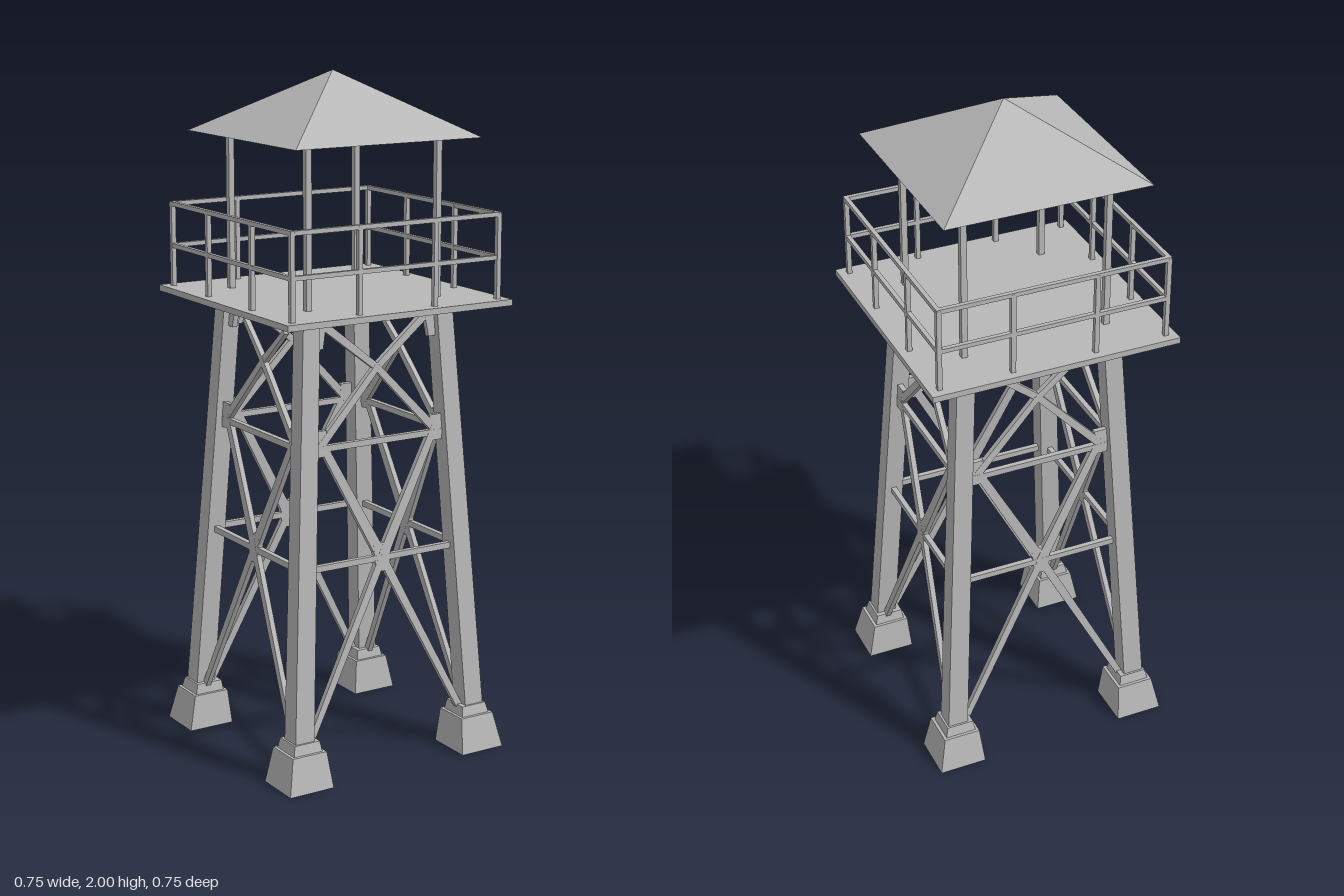
import * as THREE from 'three';

const steel = new THREE.MeshStandardMaterial({ color: 0xb8b8b8 });
steel.name = 'grey steel';

function add(parent, name, geometry) {
  const mesh = new THREE.Mesh(geometry, steel);
  mesh.name = name;
  parent.add(mesh);
  return mesh;
}

// Square block whose bottom and top may differ in centre and half width: [cx, y, cz, half]
function taperedBlock(bottom, top) {
  const g = new THREE.BoxGeometry(2, 2, 2);
  const p = g.attributes.position;
  for (let i = 0; i < p.count; i++) {
    const [cx, y, cz, h] = p.getY(i) < 0 ? bottom : top;
    p.setXYZ(i, cx + p.getX(i) * h, y, cz + p.getZ(i) * h);
  }
  g.computeVertexNormals();
  return g;
}

// Flat bar between two points, its width going from w0 to w1
function bar(parent, name, a, b, w0, w1 = w0, depth = 0.016) {
  const dir = b.clone().sub(a);
  const length = dir.length();
  dir.normalize();
  const g = new THREE.BoxGeometry(1, length, depth);
  const p = g.attributes.position;
  for (let i = 0; i < p.count; i++) p.setX(i, p.getX(i) * (p.getY(i) < 0 ? w0 : w1));
  g.computeVertexNormals();
  const side = dir.clone().cross(new THREE.Vector3(0, 0, 1)).normalize();
  const mesh = add(parent, name, g);
  mesh.quaternion.setFromRotationMatrix(
    new THREE.Matrix4().makeBasis(side, dir, side.clone().cross(dir)));
  mesh.position.copy(a).add(b).multiplyScalar(0.5);
  return mesh;
}

// Distance of a leg's centre line from the middle at height y
const lean = y => 0.295 - (y - 0.12) * 0.0593;

// Point in the leaning plane of one tower face
const onFace = (x, y) => new THREE.Vector3(x, y, lean(y));

function createLeg(sx, sz) {
  const leg = new THREE.Group();
  leg.name = 'leg';
  const at = (y, half) => [sx * lean(y), y, sz * lean(y), half];
  add(leg, 'legBeam', taperedBlock(at(0.12, 0.031), at(1.345, 0.027)));
  const foot = (y, c, half) => [sx * c, y, sz * c, half];
  add(leg, 'footing', taperedBlock(foot(0, 0.297, 0.072), foot(0.105, 0.291, 0.056)));
  add(leg, 'footingCap', taperedBlock(foot(0.105, 0.291, 0.047), foot(0.135, 0.29, 0.041)));
  return leg;
}

function createBracing(short) {
  const face = new THREE.Group();
  face.name = 'bracing';
  for (const s of [-1, 1]) {
    // Lower cross, wider above its centre
    bar(face, 'lowerBrace', onFace(s * 0.262, 0.12), onFace(0, 0.625), 0.02, 0.026);
    bar(face, 'middleBrace', onFace(0, 0.625), onFace(s * 0.195, 0.99), 0.034, 0.024);
    // Upper cross
    const end = short ? onFace(s * 0.115, 1.285) : onFace(s * 0.19, 1.33);
    bar(face, 'upperBrace', onFace(s * 0.2, 0.97), onFace(0, 1.18), 0.024, 0.02);
    bar(face, 'upperBrace', onFace(0, 1.18), end, 0.02, short ? 0.014 : 0.024);
    // Joint plates on the legs
    bar(face, 'jointPlate', onFace(s * 0.195, 0.945), onFace(s * 0.195, 1.02), 0.04);
    bar(face, 'topBracket', onFace(s * 0.19, 1.25), onFace(s * 0.185, 1.335), 0.025, 0.045);
  }
  bar(face, 'centrePlate', onFace(0, 0.585), onFace(0, 0.67), 0.045, 0.06);
  bar(face, 'lowerTie', onFace(-0.25, 0.625), onFace(0.25, 0.625), 0.018);
  bar(face, 'upperTie', onFace(-0.23, 0.968), onFace(0.23, 0.968), 0.018);
  return face;
}

function createRailing() {
  const railing = new THREE.Group();
  railing.name = 'railing';
  const r = 0.341;
  for (const y of [1.48, 1.603]) {
    add(railing, 'rail', new THREE.BoxGeometry(2 * r + 0.012, 0.013, 0.013)).position.set(0, y, r);
  }
  // The last corner post belongs to the next side
  for (const x of [-r, -0.125, 0.125]) {
    add(railing, 'railPost', new THREE.BoxGeometry(0.014, 0.25, 0.014)).position.set(x, 1.48, r);
  }
  return railing;
}

// Thin hollow pyramid
function createRoof() {
  const k = Math.SQRT2;
  const profile = [[0, 1.985], [0.29 * k, 1.816], [0.306 * k, 1.818], [0, 2]]
    .map(([x, y]) => new THREE.Vector2(x, y));
  const g = new THREE.LatheGeometry(profile, 4, Math.PI / 4).toNonIndexed();
  g.computeVertexNormals();
  return g;
}

export function createModel() {
  const tower = new THREE.Group();
  tower.name = 'watchtower';

  for (const sx of [-1, 1]) {
    for (const sz of [-1, 1]) {
      tower.add(createLeg(sx, sz));
      add(tower, 'roofPost', new THREE.BoxGeometry(0.018, 0.48, 0.018))
        .position.set(sx * 0.216, 1.59, sz * 0.216);
    }
  }

  for (let i = 0; i < 4; i++) {
    for (const part of [createBracing(i % 2 === 1), createRailing()]) {
      part.rotation.y = i * Math.PI / 2;
      tower.add(part);
    }
  }

  add(tower, 'platform', new THREE.BoxGeometry(0.745, 0.018, 0.745)).position.y = 1.351;
  add(tower, 'roof', createRoof());
  return tower;
}
